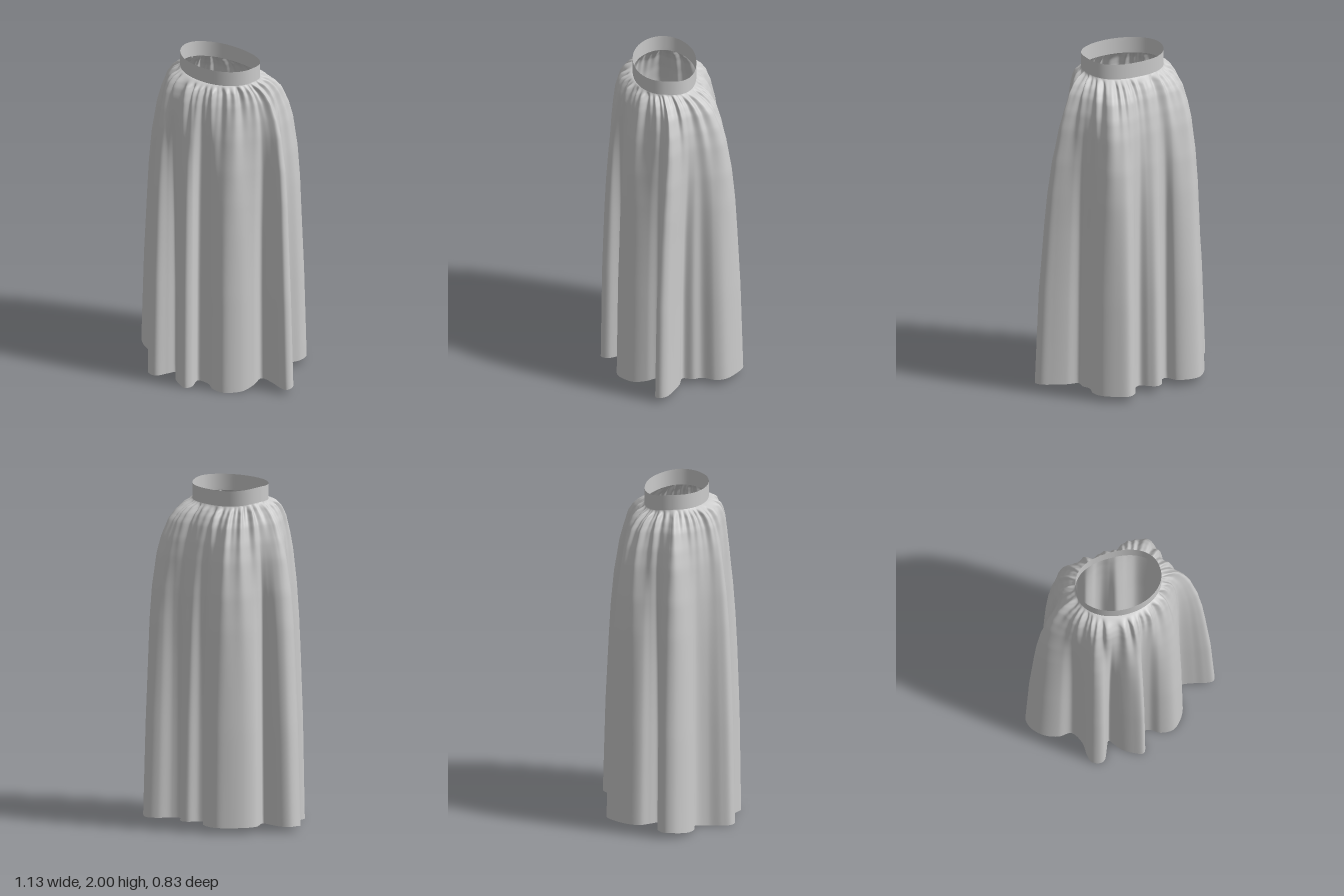
import * as THREE from 'three';

const COLUMNS = 480;
const CENTRE_Z = 0.04;
const { lerp, smoothstep, mapLinear } = THREE.MathUtils;

// Hem outline as x, z pairs, walking from the left side round the front
const HEM = [
  0.565, 0.07, 0.55, 0.1, 0.5, 0.1, 0.44, 0.085, 0.345, 0.08, 0.345, 0.15, 0.32, 0.24, 0.25, 0.315,
  0.17, 0.315, 0.11, 0.28, 0.035, 0.285, 0.06, 0.37, 0.04, 0.41, -0.02, 0.39, -0.08, 0.35, -0.11, 0.31,
  -0.135, 0.28, -0.16, 0.33, -0.19, 0.39, -0.22, 0.4, -0.265, 0.38, -0.28, 0.33, -0.285, 0.25, -0.33, 0.18,
  -0.41, 0.18, -0.5, 0.145, -0.56, 0.08, -0.565, 0.02, -0.52, -0.02, -0.44, -0.025, -0.37, -0.03, -0.4, -0.08,
  -0.43, -0.13, -0.42, -0.2, -0.36, -0.29, -0.3, -0.34, -0.22, -0.34, -0.16, -0.31, -0.13, -0.25, -0.08, -0.27,
  -0.05, -0.33, -0.01, -0.345, 0.03, -0.32, 0.07, -0.28, 0.12, -0.31, 0.16, -0.38, 0.22, -0.415, 0.29, -0.38,
  0.36, -0.31, 0.37, -0.25, 0.345, -0.17, 0.36, -0.12, 0.35, -0.06, 0.42, -0.04, 0.5, 0, 0.55, 0.035,
];

// Height, flare (0 at the waist, 1 at the hem) and softness (1 where folds are shallow)
const PROFILE = [
  [1.91, 0, 1], [1.885, 0.24, 1], [1.85, 0.43, 1], [1.8, 0.57, 0.95], [1.7, 0.7, 0.84], [1.6, 0.78, 0.7],
  [1.4, 0.86, 0.48], [1.2, 0.9, 0.32], [1, 0.92, 0.2], [0.6, 0.96, 0.06], [0, 1, 0],
];

function profileAt(y) {
  const i = Math.max(1, PROFILE.findIndex(([h]) => h <= y));
  const from = PROFILE[i - 1], to = PROFILE[i];
  return [1, 2].map((k) => mapLinear(y, from[0], to[0], from[k], to[k]));
}

// Oval waist, flatter across the back
function waistPoint(a) {
  const c = Math.cos(a), s = Math.sin(a);
  const e = s < 0 ? 0.86 : 0.98;
  return [
    -0.006 + 0.252 * Math.sign(c) * Math.abs(c) ** e,
    CENTRE_Z + 0.185 * Math.sign(s) * Math.abs(s) ** e,
  ];
}

// The waistband dips a little at the back
const dip = (z) => 0.025 * smoothstep(-z, -0.06, 0.16);

// Closed tube of cloth: point(column, v) with v running from top to bottom
function clothTube(name, columns, rows, point) {
  const positions = [], index = [];
  for (let j = 0; j <= rows; j++)
    for (let i = 0; i < columns; i++) positions.push(...point(i, j / rows));
  for (let j = 0; j < rows; j++)
    for (let i = 0; i < columns; i++) {
      const n = (i + 1) % columns;
      const a = j * columns + i, b = j * columns + n;
      const c = a + columns, d = b + columns;
      index.push(a, b, c, b, d, c);
    }
  const geometry = new THREE.BufferGeometry();
  geometry.setAttribute('position', new THREE.Float32BufferAttribute(positions, 3));
  geometry.setIndex(index);
  geometry.computeVertexNormals();
  const material = new THREE.MeshStandardMaterial({ color: 0xcccccc, roughness: 0.9, side: THREE.DoubleSide });
  const mesh = new THREE.Mesh(geometry, material);
  mesh.name = name;
  return mesh;
}

// Hem samples, each with a softened outline point and the waist angle it hangs from
function hemColumns() {
  const points = [];
  for (let i = 0; i < HEM.length; i += 2) points.push(new THREE.Vector3(HEM[i], 0, HEM[i + 1]));
  const hem = new THREE.CatmullRomCurve3(points, true).getSpacedPoints(COLUMNS).slice(0, COLUMNS);
  const raw = [];
  hem.forEach((p, i) => {
    let a = Math.atan2(p.z - CENTRE_Z, p.x);
    if (i > 0) a += Math.round((raw[i - 1] - a) / (2 * Math.PI)) * 2 * Math.PI;
    raw.push(a);
  });
  const reach = 22, count = 2 * reach + 1;
  return hem.map((p, i) => {
    let angle = 0, softX = 0, softZ = 0;
    for (let k = -reach; k <= reach; k++) {
      const turn = Math.floor((i + k) / COLUMNS);
      const n = i + k - turn * COLUMNS;
      angle += (raw[n] + turn * 2 * Math.PI) / count;
      softX += hem[n].x / count;
      softZ += hem[n].z / count;
    }
    // The folds on the left side lean backwards towards the waist
    softZ -= 0.07 * Math.max(0, Math.cos(angle)) ** 2;
    return { x: p.x, z: p.z, softX, softZ, angle };
  });
}

export function createModel() {
  const skirt = new THREE.Group();
  skirt.name = 'skirt';

  // Flat band round the waist
  skirt.add(clothTube('waistband', 96, 4, (i, v) => {
    const [x, z] = waistPoint((i / 96) * Math.PI * 2);
    return [x, lerp(2, 1.905, v) - dip(z), z];
  }));

  // Gathered cloth, puffed below the band and falling into deep folds
  const columns = hemColumns();
  skirt.add(clothTube('gatheredSkirt', COLUMNS, 64, (i, v) => {
    const { x, z, softX, softZ, angle: a } = columns[i];
    const [wx, wz] = waistPoint(a);
    const hemY = 0.036 * (1 - smoothstep(z, 0.05, 0.25));
    const drop = v ** 1.8;
    const y = lerp(1.91, hemY, drop);
    const [flare, softness] = profileAt(y);
    const s = Math.sin(a);
    // The sides slope out more slowly than the front and back
    const t = flare ** (1.65 - (s > 0 ? 1.0 : 0.4) * Math.abs(s));

    // Small gathers start at the band, merge into wider ones and fade out
    const depth = 1.91 - y;
    const start = smoothstep(depth, 0, 0.035);
    const fine = 0.011 * Math.exp(-depth / 0.12) * (Math.sin(41 * a + 2 * Math.sin(5 * a)) + 0.5 * Math.sin(29 * a + 1));
    const wide = 0.014 * Math.exp(-depth / 0.35) * Math.sin(19 * a + 1.5 * Math.sin(3 * a + 1) + 2 * depth);
    const ripple = start * (fine + wide);
    return [
      lerp(wx, lerp(x, softX, softness), t) + ripple * Math.cos(a),
      y - dip(wz) * (1 - drop),
      lerp(wz, lerp(z, softZ, softness), t) + ripple * s,
    ];
  }));

  return skirt;
}
